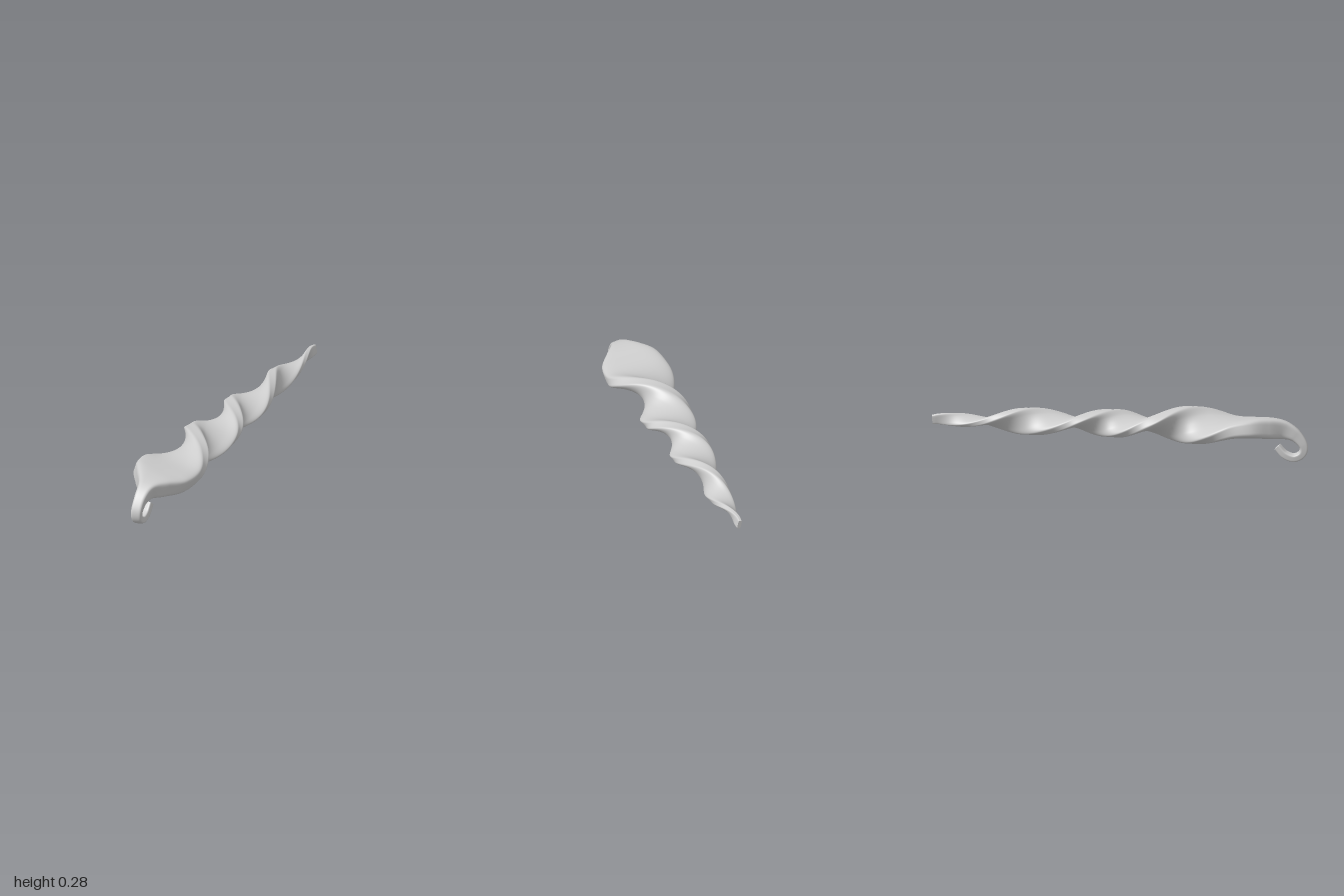
import * as THREE from 'three';

// Stations from the hook tip to the tail:
// z, y (centre line), half width, half thickness, vertical squash, twist in degrees
const STATIONS = [
  [0.835, 0.080, 0.020, 0.018, 1, -10],
  [0.875, 0.038, 0.023, 0.019, 1, -10],
  [0.925, 0.022, 0.025, 0.019, 1, -10],
  [0.967, 0.045, 0.027, 0.020, 1, -10],
  [0.972, 0.090, 0.029, 0.024, 1, -10],
  [0.930, 0.142, 0.033, 0.034, 1, -9],
  [0.870, 0.170, 0.048, 0.050, 0.95, -9],
  [0.800, 0.178, 0.100, 0.064, 0.85, -11],
  [0.710, 0.180, 0.158, 0.074, 0.7, -13],
  [0.590, 0.180, 0.174, 0.074, 0.6, -4],
  [0.460, 0.185, 0.166, 0.066, 0.58, 36],
  [0.330, 0.189, 0.160, 0.060, 0.58, 88],
  [0.210, 0.187, 0.144, 0.060, 0.58, 135],
  [0.090, 0.186, 0.131, 0.058, 0.57, 180],
  [-0.090, 0.190, 0.120, 0.055, 0.57, 270],
  [-0.290, 0.190, 0.106, 0.042, 0.64, 360],
  [-0.525, 0.190, 0.081, 0.034, 0.85, 450],
  [-0.745, 0.187, 0.053, 0.022, 0.85, 540],
  [-0.940, 0.194, 0.036, 0.013, 0.85, 630],
  [-1.000, 0.190, 0.028, 0.010, 0.9, 640],
];
const ROWS = 320, SIDES = 56, CORNER = 0.42;

// Rounded rectangle section, one point per angle
function sectionPoint(a, w, t) {
  const c = Math.cos(a), s = Math.sin(a);
  return [
    w * Math.sign(c) * Math.abs(c) ** CORNER,
    t * Math.sign(s) * Math.abs(s) ** CORNER,
  ];
}

function curveOf(columns) {
  const points = STATIONS.map((r) => new THREE.Vector3(...columns.map((c) => r[c])));
  return new THREE.CatmullRomCurve3(points, false, 'catmullrom', 0.5);
}

// Sweep the section along the centre line, twisting and squashing it
function twistedGeometry() {
  const path = curveOf([0, 1, 2]); // z, y, half width
  const shape = curveOf([3, 4, 5]); // half thickness, squash, twist
  const positions = [], index = [];
  for (let i = 0; i <= ROWS; i++) {
    const k = i / ROWS;
    const p = path.getPoint(k), q = shape.getPoint(k), d = path.getTangent(k);
    const len = Math.hypot(d.x, d.y);
    const ny = -d.x / len, nz = d.y / len; // normal of the path in the side plane
    const twist = THREE.MathUtils.degToRad(q.z);
    const c = Math.cos(twist), s = Math.sin(twist);
    for (let j = 0; j < SIDES; j++) {
      const [u, v] = sectionPoint((j / SIDES) * Math.PI * 2, p.z, q.x);
      const side = u * c - v * s;
      const up = (u * s + v * c) * q.y;
      positions.push(side, p.y + ny * up, p.x + nz * up);
    }
  }
  for (let i = 0; i < ROWS; i++) {
    for (let j = 0; j < SIDES; j++) {
      const a = i * SIDES + j, b = i * SIDES + ((j + 1) % SIDES);
      index.push(a, a + SIDES, b, b, a + SIDES, b + SIDES);
    }
  }
  const geometry = new THREE.BufferGeometry();
  geometry.setAttribute('position', new THREE.Float32BufferAttribute(positions, 3));
  geometry.setIndex(index);
  geometry.computeVertexNormals();
  return geometry;
}

// Flat cap over one end ring of the sweep
function capGeometry(body, row, flip) {
  const source = body.getAttribute('position');
  const centre = new THREE.Vector3(), ring = [];
  for (let j = 0; j < SIDES; j++) {
    const p = new THREE.Vector3().fromBufferAttribute(source, row * SIDES + j);
    ring.push(p);
    centre.addScaledVector(p, 1 / SIDES);
  }
  const index = [];
  for (let j = 0; j < SIDES; j++) {
    const a = j + 1, b = ((j + 1) % SIDES) + 1;
    index.push(0, flip ? b : a, flip ? a : b);
  }
  const geometry = new THREE.BufferGeometry().setFromPoints([centre, ...ring]);
  geometry.setIndex(index);
  geometry.computeVertexNormals();
  return geometry;
}

export function createModel() {
  const model = new THREE.Group();
  model.name = 'twistedDrop';
  const material = new THREE.MeshStandardMaterial({ color: 0xcccccc });
  const add = (name, geometry) => {
    const mesh = new THREE.Mesh(geometry, material);
    mesh.name = name;
    model.add(mesh);
  };

  const body = twistedGeometry();
  add('twistedBodyWithHook', body);
  add('hookTip', capGeometry(body, 0, false));
  add('tailTip', capGeometry(body, ROWS, true));
  return model;
}
